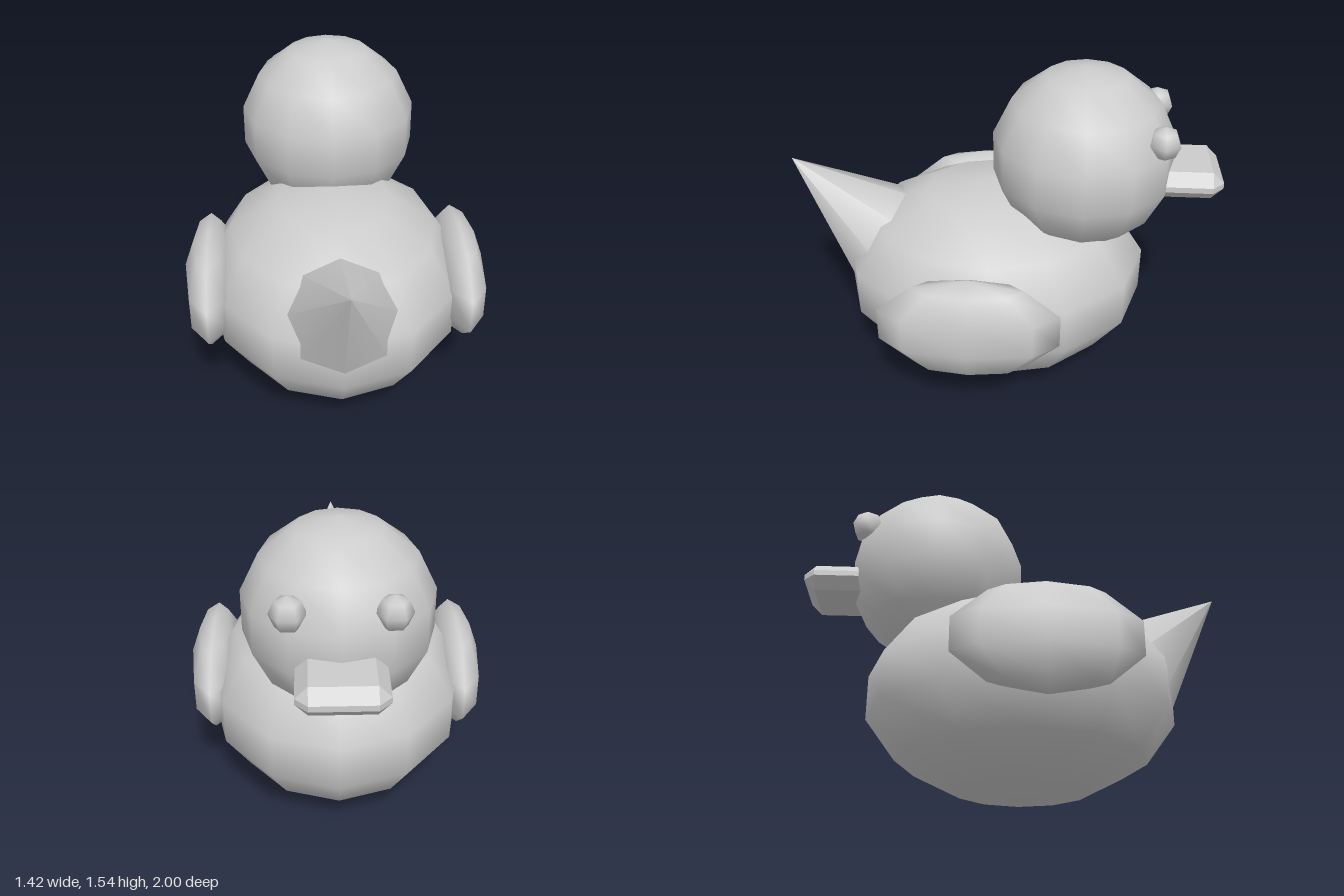
import * as THREE from 'three';
import { ConvexGeometry } from 'three/addons/geometries/ConvexGeometry.js';

const grey = new THREE.MeshStandardMaterial({ color: 0xcccccc });
grey.name = 'grey';

// Low-sided ellipsoid with its poles up and down
function ellipsoid(name, radii, position, sides, rows) {
  const geometry = new THREE.SphereGeometry(1, sides, rows).scale(...radii);
  const mesh = new THREE.Mesh(geometry, grey);
  mesh.name = name;
  mesh.position.set(...position);
  return mesh;
}

// Box whose edges and corners are all cut by the same chamfer
function chamferedBox(width, height, depth, cut) {
  const half = [width / 2, height / 2, depth / 2];
  const points = [];
  for (const sx of [-1, 1]) for (const sy of [-1, 1]) for (const sz of [-1, 1]) {
    for (let face = 0; face < 3; face++) {
      const h = half.map((v, i) => (i === face ? v : v - cut));
      points.push(new THREE.Vector3(sx * h[0], sy * h[1], sz * h[2]));
    }
  }
  return new ConvexGeometry(points);
}

export function createModel() {
  const duck = new THREE.Group();
  duck.name = 'duck';

  duck.add(ellipsoid('body', [0.627, 0.482, 0.737], [0, 0.483, 0.04], 12, 7));
  duck.add(ellipsoid('head', [0.426, 0.426, 0.426], [0, 1.114, -0.372], 12, 7));

  // Paired wings and eyes
  for (const [side, s] of [['left', -1], ['right', 1]]) {
    duck.add(ellipsoid(side + 'Wing', [0.125, 0.258, 0.425], [s * 0.592, 0.54, 0.112], 8, 5));
    duck.add(ellipsoid(side + 'Eye', [0.077, 0.077, 0.077], [s * 0.207, 1.282, -0.708], 6, 4));
  }

  // Flat beak, its back end sunk in the head
  const beak = new THREE.Mesh(chamferedBox(0.37, 0.13, 0.37, 0.052), grey);
  beak.name = 'beak';
  beak.position.set(0, 1.04, -0.815);
  duck.add(beak);

  // Pointed tail, tip at the origin of its geometry, tilted up and back
  const tail = new THREE.Mesh(new THREE.ConeGeometry(0.3, 0.66, 8).translate(0, -0.33, 0), grey);
  tail.name = 'tail';
  tail.position.set(0, 1.038, 1);
  tail.rotation.x = 0.825;
  duck.add(tail);

  return duck;
}
